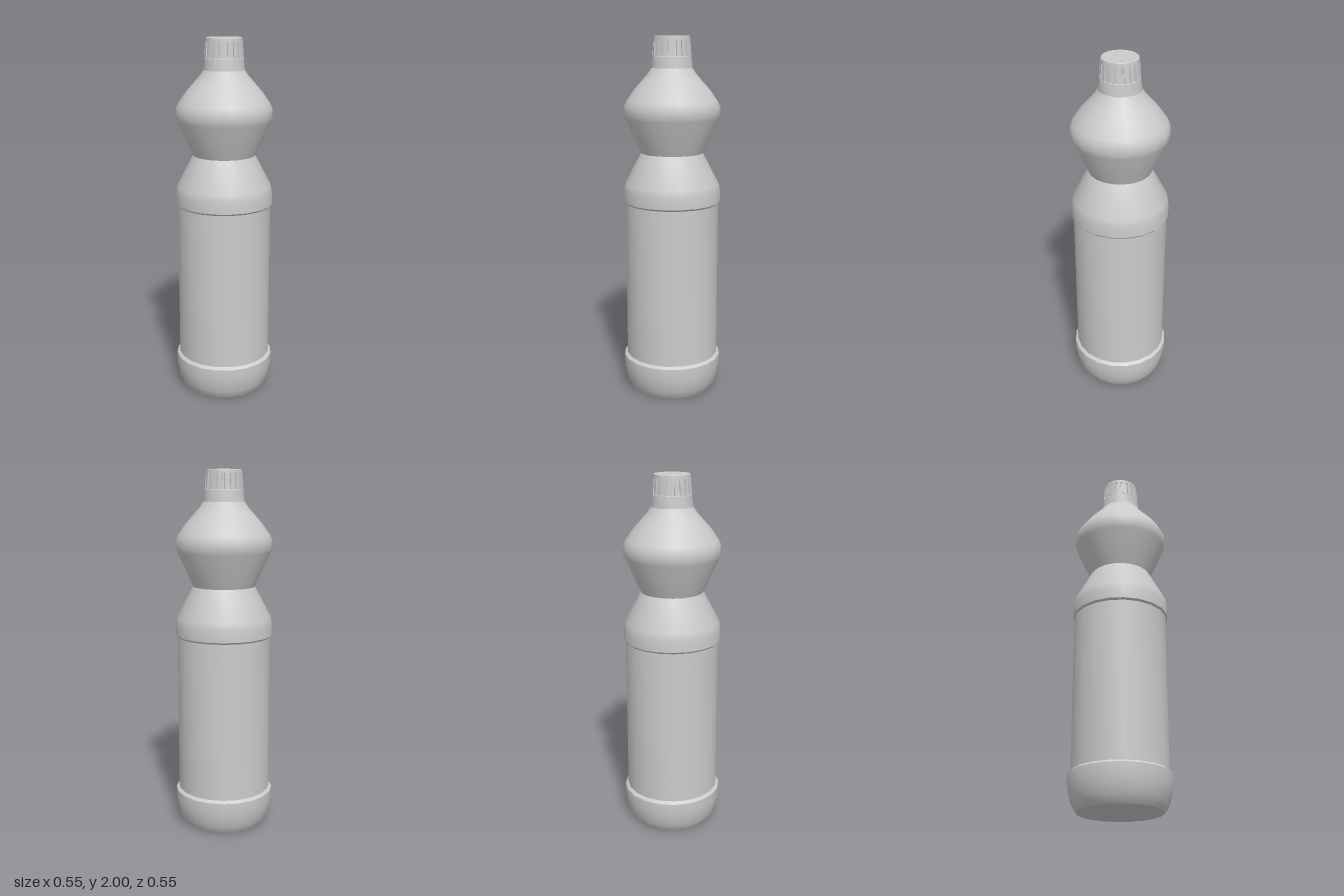
import * as THREE from 'three';
import { toCreasedNormals } from 'three/addons/utils/BufferGeometryUtils.js';

const SIDES = 20;
const material = new THREE.MeshStandardMaterial({ color: 0xcccccc });

// Revolves [radius, height] pairs listed from bottom to top.
function turned(name, profile, sides = SIDES) {
  const points = profile.map(([r, y]) => new THREE.Vector2(r, y));
  const geometry = toCreasedNormals(new THREE.LatheGeometry(points, sides), 0.6);
  const mesh = new THREE.Mesh(geometry, material);
  mesh.name = name;
  return mesh;
}

export function createModel() {
  const bottle = new THREE.Group();
  bottle.name = 'bottle';

  // Rounded foot with a small ledge
  bottle.add(turned('base', [
    [0, 0], [0.23, 0], [0.241, 0.015], [0.259, 0.05], [0.27, 0.1],
    [0.277, 0.14], [0.277, 0.195], [0.26, 0.208],
  ]));

  // Straight label section
  bottle.add(turned('labelSection', [[0.26, 0.2], [0.26, 1.1]]));

  // Collar, pinched grip, bulb and shoulder
  bottle.add(turned('upperBody', [
    [0.258, 1.088], [0.269, 1.1], [0.269, 1.165], [0.262, 1.2], [0.172, 1.37],
    [0.258, 1.56], [0.265, 1.582], [0.265, 1.625], [0.25, 1.655],
    [0.208, 1.715], [0.163, 1.765], [0.13, 1.803], [0.113, 1.83],
  ]));

  // Tamper ring and cap core
  bottle.add(turned('capRing', [
    [0.113, 1.828], [0.107, 1.892], [0.099, 1.896],
  ]));
  bottle.add(turned('capCore', [[0.1, 1.89], [0.092, 1.985]], 40));
  bottle.add(turned('capTop', [
    [0.09, 1.978], [0.099, 1.978], [0.097, 1.997], [0.094, 2], [0, 2],
  ], 40));

  // Grip ribs leaning with the taper of the cap
  const ribs = new THREE.Group();
  ribs.name = 'capRibs';
  const ribGeometry = new THREE.BoxGeometry(0.02, 0.09, 0.012);
  for (let i = 0; i < SIDES; i++) {
    const angle = ((i + 0.5) / SIDES) * Math.PI * 2;
    const rib = new THREE.Mesh(ribGeometry, material);
    rib.name = 'capRib';
    rib.position.set(Math.sin(angle) * 0.096, 1.938, Math.cos(angle) * 0.096);
    rib.rotation.set(-0.07, angle, 0, 'YXZ');
    ribs.add(rib);
  }
  bottle.add(ribs);

  return bottle;
}
